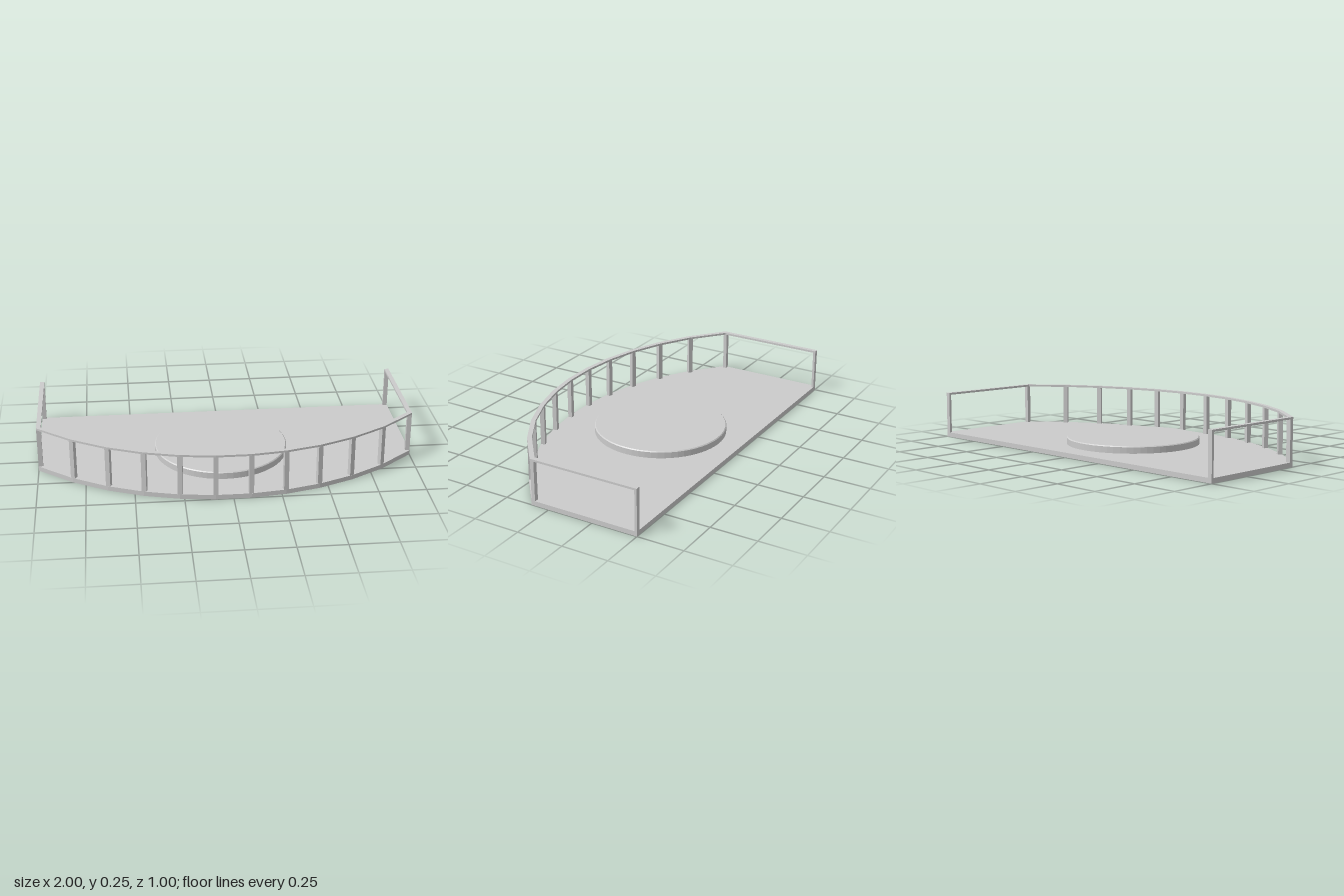
import * as THREE from 'three';

const BASE_H = 0.025, TOP = 0.25, RAIL_H = 0.011, RAIL_W = 0.024;
const SEGMENTS = 11;

const material = new THREE.MeshStandardMaterial({ color: 0xcccccc, flatShading: true });

// Bowed front edge: a shallow arc sampled at even steps in x
const arcZ = (x) => 0.1 - 1.0397 + Math.sqrt(2.081 - x * x);

function add(parent, name, geometry, x = 0, y = 0, z = 0, turn = 0) {
  const mesh = new THREE.Mesh(geometry, material);
  mesh.name = name;
  mesh.position.set(x, y, z);
  mesh.rotation.y = turn;
  parent.add(mesh);
}

// Horizontal slab from (x, z) points, with its underside at y = 0
function slab(points, height) {
  const shape = new THREE.Shape(points.map((p) => new THREE.Vector2(p.x, -p.y)));
  const geometry = new THREE.ExtrudeGeometry(shape, { depth: height, bevelEnabled: false });
  return geometry.rotateX(-Math.PI / 2);
}

// Mitred inward offset of an open path that runs from -x round the front to +x
function insetPath(path, d) {
  const normal = (a, b) => new THREE.Vector2(b.y - a.y, a.x - b.x).normalize();
  return path.map((p, i) => {
    const n0 = normal(path[Math.max(i - 1, 0)], path[Math.max(i, 1)]);
    const last = path.length - 1;
    const n1 = normal(path[Math.min(i, last - 1)], path[Math.min(i + 1, last)]);
    const m = n0.clone().add(n1).normalize();
    return p.clone().addScaledVector(m, d / m.dot(n0));
  });
}

export function createModel() {
  const model = new THREE.Group();
  model.name = 'balconyStage';

  const front = [];
  for (let i = 0; i <= SEGMENTS; i++) {
    const x = -1 + (2 * i) / SEGMENTS;
    front.push(new THREE.Vector2(x, arcZ(x)));
  }
  const outline = [new THREE.Vector2(-1, -0.5), ...front, new THREE.Vector2(1, -0.5)];

  // Floor
  add(model, 'floor', slab(outline, BASE_H));

  // Handrail along the sides and front, open at the back
  const inner = insetPath(outline, RAIL_W);
  add(model, 'handrail', slab([...outline, ...inner.reverse()], RAIL_H), 0, TOP - RAIL_H, 0);

  // Posts
  const posts = new THREE.Group();
  posts.name = 'posts';
  model.add(posts);
  const postH = TOP - RAIL_H - BASE_H;
  const postY = BASE_H + postH / 2;
  const frontPost = new THREE.BoxGeometry(0.025, postH, 0.023);
  for (let i = 1; i < SEGMENTS; i++) {
    const { x, y: z } = front[i];
    const turn = Math.asin(x / Math.sqrt(2.081));
    const inset = 0.0125;
    add(posts, 'frontPost', frontPost,
      x - Math.sin(turn) * inset, postY, z - Math.cos(turn) * inset, turn);
  }
  for (const side of [-1, 1]) {
    add(posts, 'cornerPost', new THREE.BoxGeometry(RAIL_W, postH, 0.02), side * (1 - RAIL_W / 2), postY, 0.089);
    add(posts, 'backPost', new THREE.BoxGeometry(RAIL_W, postH, 0.013), side * (1 - RAIL_W / 2), postY, -0.4935);
  }

  // Round platform with a slightly eased top edge
  const r = 0.357, h = 0.038;
  const profile = [[0, 0], [r, 0], [r, h - 0.005], [r - 0.005, h], [0, h]]
    .map(([a, b]) => new THREE.Vector2(a, b));
  add(model, 'roundPlatform', new THREE.LatheGeometry(profile, 64), -0.02, BASE_H, -0.025);

  return model;
}
